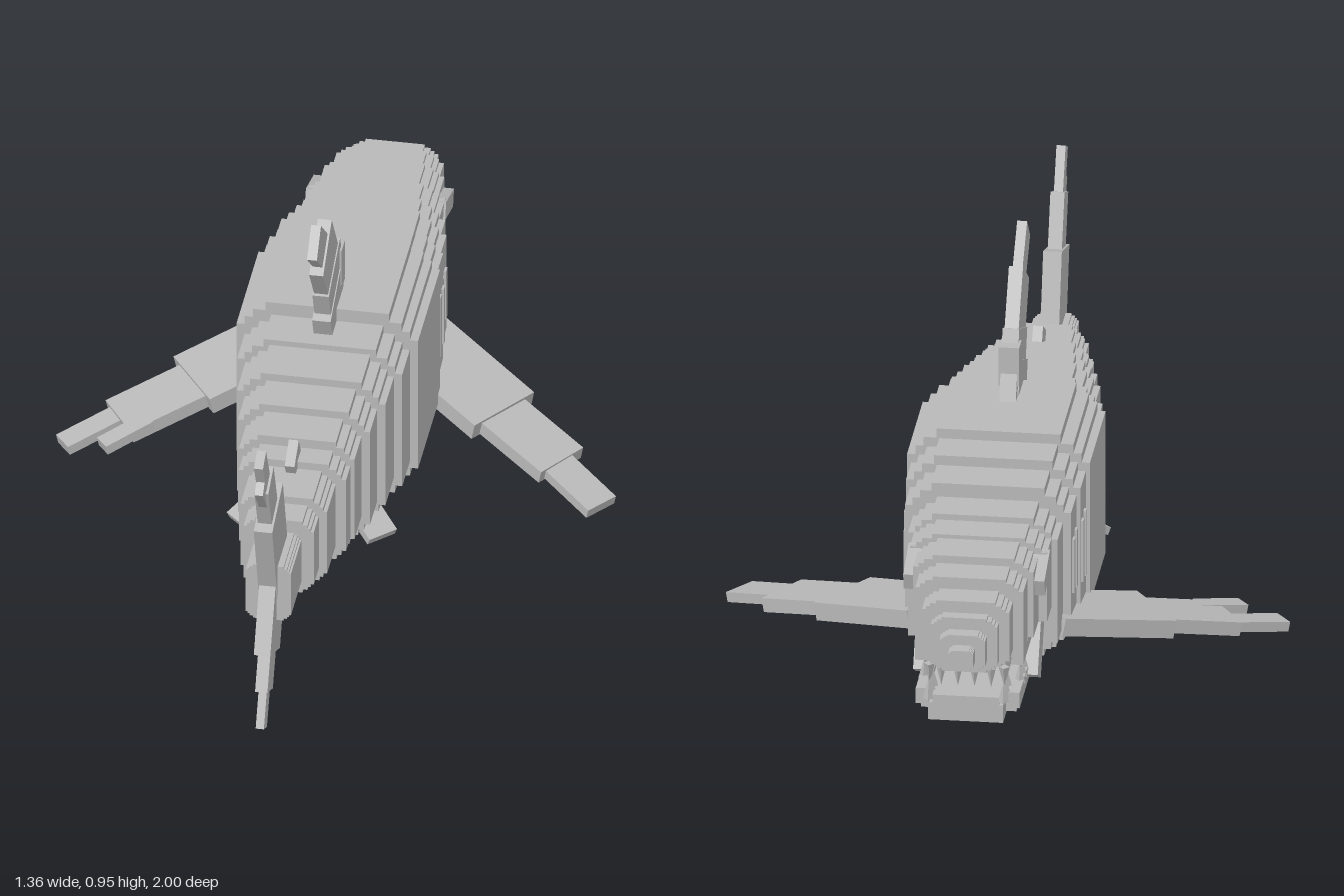
import * as THREE from 'three';

const skin = new THREE.MeshStandardMaterial({ color: 0xb8b8b8 });
skin.name = 'grey skin';

const V = (x, y, z) => new THREE.Vector3(x, y, z);

function add(parent, name, geometry) {
  const mesh = new THREE.Mesh(geometry, skin);
  mesh.name = name;
  parent.add(mesh);
  return mesh;
}

// Axis-aligned block given by centre and size
function block(parent, name, x, y, z, w, h, d) {
  add(parent, name, new THREE.BoxGeometry(w, h, d)).position.set(x, y, z);
}

// Flat slab running from a to b; "normal" is roughly its thin direction
function slab(parent, name, a, b, width, thick, normal) {
  const dir = b.clone().sub(a);
  const len = dir.length();
  dir.normalize();
  const side = dir.clone().cross(normal).normalize();
  const thin = side.clone().cross(dir);
  const mesh = add(parent, name, new THREE.BoxGeometry(width, len, thick));
  mesh.quaternion.setFromRotationMatrix(new THREE.Matrix4().makeBasis(side, dir, thin));
  mesh.position.copy(a).add(b).multiplyScalar(0.5);
}

// Upright slab in the plane of symmetry, or offset sideways by x
function upright(parent, name, z0, y0, z1, y1, width, thick, x = 0) {
  slab(parent, name, V(x, y0, z0), V(x, y1, z1), width, thick, V(1, 0, 0));
}

// Body section: nested blocks that give stepped corners
function section(parent, name, z0, z1, hw, y0, y1) {
  const s = Math.min(hw / 0.22, (y1 - y0) / 0.5);
  for (const [k, inset] of [[1, 0.07], [0.91, 0.047], [0.82, 0.024], [0.68, 0]]) {
    const i = inset * s;
    block(parent, name, 0, (y0 + y1) / 2, (z0 + z1) / 2, 2 * hw * k, y1 - y0 - 2 * i, z0 - z1);
  }
}

function tooth(parent, name, x, y, z, h, down) {
  const mesh = add(parent, name, new THREE.ConeGeometry(0.014, h, 4).toNonIndexed());
  mesh.geometry.computeVertexNormals();
  mesh.position.set(x, y, z);
  if (down) mesh.rotation.x = Math.PI;
}

export function createModel() {
  const model = new THREE.Group();
  model.name = 'shark';
  const group = (name) => {
    const g = new THREE.Group();
    g.name = name;
    model.add(g);
    return g;
  };

  // Body from tail stalk to gills: rear z, front z, half width, bottom, top
  const body = group('body');
  for (const s of [
    [0.865, 0.69, 0.055, 0.265, 0.42], [0.72, 0.62, 0.085, 0.25, 0.455],
    [0.65, 0.53, 0.105, 0.23, 0.475], [0.53, 0.47, 0.13, 0.21, 0.495],
    [0.47, 0.37, 0.14, 0.2, 0.52], [0.37, 0.27, 0.16, 0.17, 0.54],
    [0.27, 0.15, 0.18, 0.155, 0.56], [0.15, 0.045, 0.2, 0.125, 0.575],
    [0.045, -0.26, 0.22, 0.1, 0.61], [-0.26, -0.36, 0.21, 0.1, 0.585],
    [-0.36, -0.465, 0.2, 0.125, 0.56], [-0.465, -0.565, 0.18, 0.15, 0.525],
  ]) section(body, 'bodySection', ...s);

  // Upper head and snout
  const head = group('head');
  for (const s of [
    [-0.565, -0.65, 0.165, 0.26, 0.51], [-0.65, -0.75, 0.145, 0.265, 0.5],
    [-0.75, -0.83, 0.13, 0.27, 0.48], [-0.83, -0.9, 0.105, 0.275, 0.45],
    [-0.9, -0.93, 0.08, 0.28, 0.42], [-0.93, -0.965, 0.055, 0.3, 0.39],
    [-0.965, -1, 0.03, 0.315, 0.365],
  ]) section(head, 'headSection', ...s);

  // Lower jaw
  const jaw = group('lowerJaw');
  block(jaw, 'throat', 0, 0.195, -0.6, 0.24, 0.07, 0.12);
  block(jaw, 'jawFloor', 0, 0.165, -0.72, 0.23, 0.045, 0.24);
  block(jaw, 'jawTip', 0, 0.16, -0.865, 0.18, 0.045, 0.07);
  block(jaw, 'jawLip', 0, 0.185, -0.885, 0.16, 0.035, 0.03);

  for (const m of [1, -1]) {
    const side = group(m > 0 ? 'leftSide' : 'rightSide');
    // Brow, eye, cheek and jaw rim
    upright(side, 'brow', -0.625, 0.455, -0.735, 0.42, 0.045, 0.04, m * 0.15);
    block(side, 'eye', m * 0.145, 0.41, -0.675, 0.025, 0.04, 0.045);
    upright(side, 'cheek', -0.59, 0.33, -0.68, 0.165, 0.07, 0.04, m * 0.13);
    block(side, 'upperLip', m * 0.115, 0.285, -0.73, 0.03, 0.05, 0.2);
    block(side, 'jawRim', m * 0.11, 0.18, -0.76, 0.03, 0.04, 0.2);
    // Teeth along the side of the mouth
    for (let i = 0; i < 7; i++) {
      const z = -0.65 - i * 0.038;
      const x = m * (i < 4 ? 0.115 : 0.09);
      tooth(side, 'upperTooth', x, 0.25, z, i % 2 ? 0.07 : 0.05, true);
      tooth(side, 'lowerTooth', x, 0.215, z - 0.015, 0.05, false);
    }
    for (const x of [0.02, 0.06]) tooth(side, 'frontTooth', m * x, 0.255, -0.89, 0.06, true);
    // Gill slits
    for (let i = 0; i < 4; i++) {
      const z = -0.3 - i * 0.045;
      const x = z > -0.36 ? 0.21 : 0.2;
      block(side, 'gill', m * x, 0.35, z, 0.012, 0.17 - i * 0.01, 0.018);
    }
    // Pectoral fin in three tapering lengths
    const p = (x, y, z) => V(m * x, y, z);
    const up = V(0, 1, 0);
    slab(side, 'pectoralFinRoot', p(0.13, 0.215, -0.42), p(0.375, 0.145, -0.245), 0.2, 0.045, up);
    slab(side, 'pectoralFinMiddle', p(0.35, 0.15, -0.26), p(0.535, 0.095, -0.135), 0.145, 0.035, up);
    if (m > 0) {
      slab(side, 'pectoralFinTip', p(0.5, 0.105, -0.15), p(0.65, 0.055, -0.035), 0.09, 0.025, up);
    } else {
      slab(side, 'pectoralFinTip', p(0.5, 0.105, -0.19), p(0.66, 0.06, -0.065), 0.06, 0.025, up);
      slab(side, 'pectoralFinFinger', p(0.46, 0.115, -0.12), p(0.56, 0.085, -0.04), 0.045, 0.025, up);
    }
    // Pelvic fin
    slab(side, 'pelvicFin', p(0.09, 0.19, 0.2), p(0.175, 0.13, 0.285), 0.08, 0.02, up);
  }

  // Dorsal fin
  const dorsal = group('dorsalFin');
  upright(dorsal, 'dorsalBase', 0.02, 0.58, 0.055, 0.66, 0.16, 0.045);
  upright(dorsal, 'dorsalLower', -0.01, 0.57, 0.06, 0.74, 0.17, 0.04);
  upright(dorsal, 'dorsalMiddle', 0.01, 0.66, 0.14, 0.85, 0.145, 0.034);
  upright(dorsal, 'dorsalTip', 0.085, 0.79, 0.23, 0.925, 0.085, 0.024);
  block(dorsal, 'dorsalNotch', 0, 0.69, -0.035, 0.05, 0.1, 0.05);

  // Small second dorsal and anal fins
  upright(model, 'secondDorsalFin', 0.5, 0.46, 0.54, 0.525, 0.07, 0.024);
  upright(model, 'analFin', 0.5, 0.26, 0.53, 0.215, 0.055, 0.024);

  // Tail fin
  const tail = group('tailFin');
  upright(tail, 'upperLobe', 0.785, 0.33, 0.865, 0.59, 0.155, 0.045);
  upright(tail, 'upperMiddle', 0.86, 0.55, 0.925, 0.71, 0.08, 0.034);
  upright(tail, 'upperTip', 0.89, 0.63, 0.98, 0.805, 0.05, 0.022);
  upright(tail, 'upperFinger', 0.925, 0.65, 0.985, 0.725, 0.035, 0.02);
  upright(tail, 'lowerLobe', 0.795, 0.37, 0.885, 0.185, 0.15, 0.04);
  upright(tail, 'lowerMiddle', 0.865, 0.22, 0.925, 0.1, 0.085, 0.03);
  upright(tail, 'lowerTip', 0.89, 0.16, 0.962, 0.016, 0.048, 0.02);

  return model;
}
